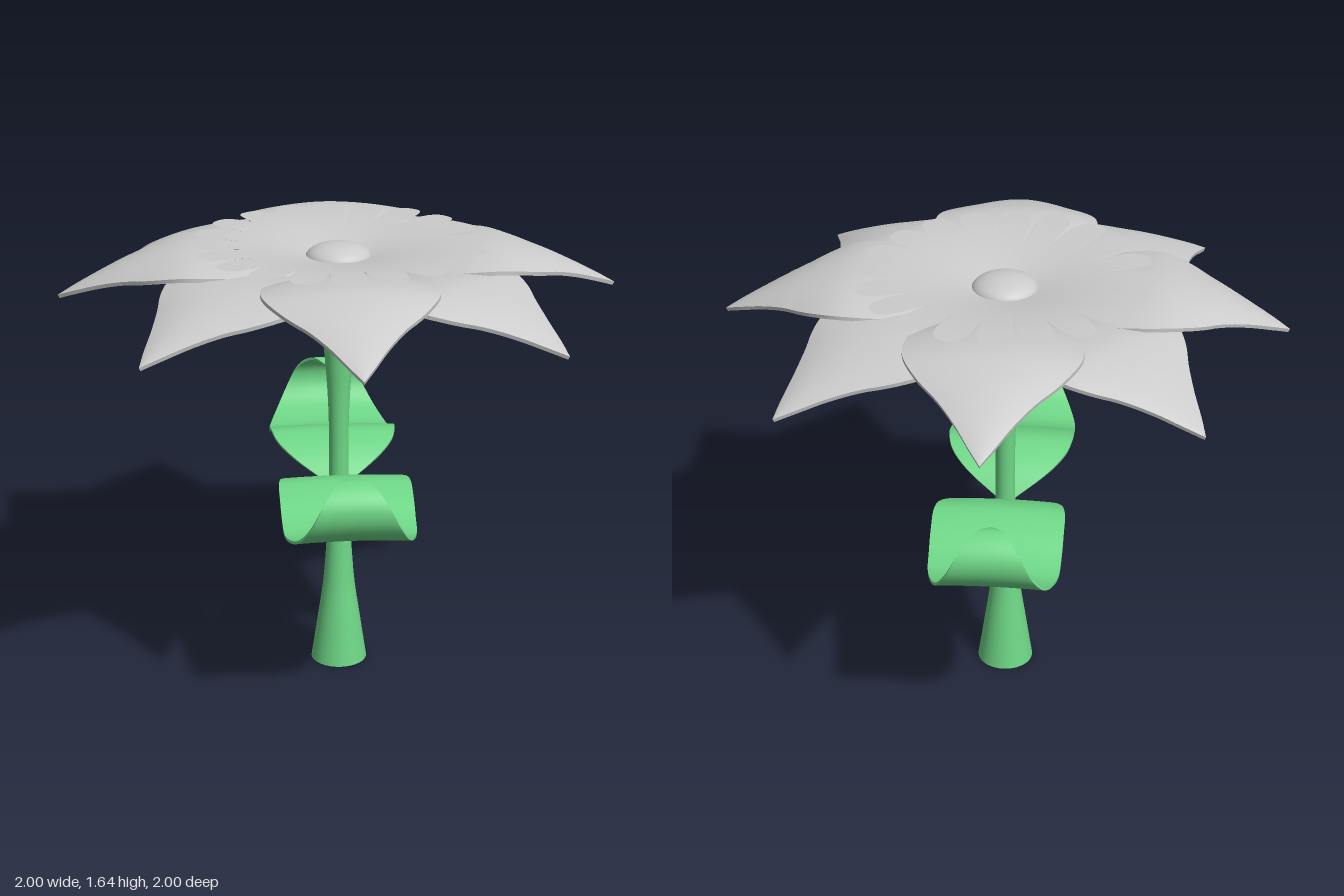
import * as THREE from 'three';
import { mergeGeometries } from 'three/addons/utils/BufferGeometryUtils.js';
import { ParametricGeometry } from 'three/addons/geometries/ParametricGeometry.js';

const grey = new THREE.MeshStandardMaterial({ color: 0xcccccc });
const greyThin = new THREE.MeshStandardMaterial({ color: 0xcccccc, side: THREE.DoubleSide });
const green = new THREE.MeshStandardMaterial({ color: 0x6ed686 });

function addMesh(parent, name, geometry, material) {
  const mesh = new THREE.Mesh(geometry, material);
  mesh.name = name;
  parent.add(mesh);
  return mesh;
}

// Thin closed blade along +z; each spine point is [half width, height, distance]
function blade(points, thickness, droop, across, along) {
  const spine = new THREE.CatmullRomCurve3(points.map(p => new THREE.Vector3(...p)));
  const place = (s, v, depth, target) => {
    const p = spine.getPoint(v);
    const t = spine.getTangent(v);
    const len = Math.hypot(t.y, t.z) || 1;
    const w = Math.max(p.x, 0);
    const sag = droop * s * s * Math.min(1, w / 0.2);
    target.set(s * w, p.y - sag - depth * t.z / len, p.z + depth * t.y / len);
  };
  const patch = (fn, nu) => {
    const g = new ParametricGeometry(fn, nu, along);
    g.computeVertexNormals();
    return g;
  };
  return mergeGeometries([
    patch((u, v, o) => place(1 - 2 * u, v, 0, o), across),
    patch((u, v, o) => place(2 * u - 1, v, thickness, o), across),
    patch((u, v, o) => place(-1, v, thickness * u, o), 1),
    patch((u, v, o) => place(1, v, thickness * (1 - u), o), 1),
  ]);
}

export function createModel() {
  const flower = new THREE.Group();
  flower.name = 'flower';

  // Stem: waisted, flaring to the foot and to the bloom
  const stemProfile = new THREE.SplineCurve([
    [0.105, 0], [0.08, 0.17], [0.055, 0.36], [0.038, 0.68], [0.038, 1.0], [0.058, 1.28], [0.09, 1.54],
  ].map(p => new THREE.Vector2(...p))).getPoints(24);
  addMesh(flower, 'stem', new THREE.LatheGeometry(stemProfile, 32), green);
  const foot = addMesh(flower, 'stemFoot', new THREE.CircleGeometry(0.105, 32), green);
  foot.rotation.x = Math.PI / 2;

  // Two leaves that arch outward and curl up at the tip
  const leafGeometry = blade([
    [0.01, 0.685, 0.02], [0.15, 0.775, 0.1], [0.215, 0.82, 0.18], [0.235, 0.837, 0.26],
    [0.237, 0.812, 0.36], [0.235, 0.77, 0.45], [0.23, 0.752, 0.53], [0.21, 0.765, 0.61],
    [0.185, 0.795, 0.67], [0.15, 0.855, 0.712], [0.12, 0.91, 0.715], [0.085, 0.955, 0.685],
    [0.045, 0.978, 0.635], [0, 0.963, 0.59],
  ], 0.01, 0.006, 12, 60);
  for (let i = 0; i < 2; i++) {
    addMesh(flower, i ? 'backLeaf' : 'frontLeaf', leafGeometry, green).rotation.y = i * Math.PI;
  }

  // Eight pointed petals: four upper on the axes, four lower on the diagonals
  const petalGeometry = blade([
    [0.05, 1.55, 0.07], [0.16, 1.585, 0.19], [0.255, 1.615, 0.31], [0.297, 1.634, 0.43],
    [0.295, 1.637, 0.55], [0.245, 1.618, 0.65], [0.165, 1.587, 0.75], [0.095, 1.545, 0.85],
    [0.04, 1.502, 0.94], [0, 1.47, 1.0],
  ], 0.014, 0.03, 14, 40);
  for (let i = 0; i < 8; i++) {
    const lower = i % 2 === 1;
    const petal = addMesh(flower, lower ? 'lowerPetal' : 'upperPetal', petalGeometry, grey);
    petal.rotation.y = i * Math.PI / 4;
    petal.position.y = lower ? -0.035 : 0;
  }

  // Dished ruffle with twenty rounded lobes
  const lobes = 20;
  const ruffleGeometry = new ParametricGeometry((u, v, target) => {
    const angle = u * Math.PI * 2;
    const phase = u * lobes;
    const t = Math.min(1, Math.abs(phase - Math.round(phase)) * 2);
    const r = v * (0.36 + 0.17 * Math.pow(1 - t ** 3, 0.6));
    const y = 1.57 + 0.072 * Math.sin(Math.min(r / 0.48, 1.15) * Math.PI / 2);
    target.set(Math.sin(angle) * r, y, Math.cos(angle) * r);
  }, lobes * 16, 10);
  // Wind the faces upward and smooth them
  ruffleGeometry.index.array.reverse();
  ruffleGeometry.computeVertexNormals();
  const normals = ruffleGeometry.attributes.normal;
  if (normals.getY(normals.count - 5) < 0) {
    ruffleGeometry.index.array.reverse();
    ruffleGeometry.computeVertexNormals();
  }
  addMesh(flower, 'ruffle', ruffleGeometry, greyThin);

  // Domed centre
  const centre = addMesh(flower, 'centre', new THREE.SphereGeometry(0.12, 32, 16), grey);
  centre.scale.y = 0.45;
  centre.position.y = 1.585;

  return flower;
}
